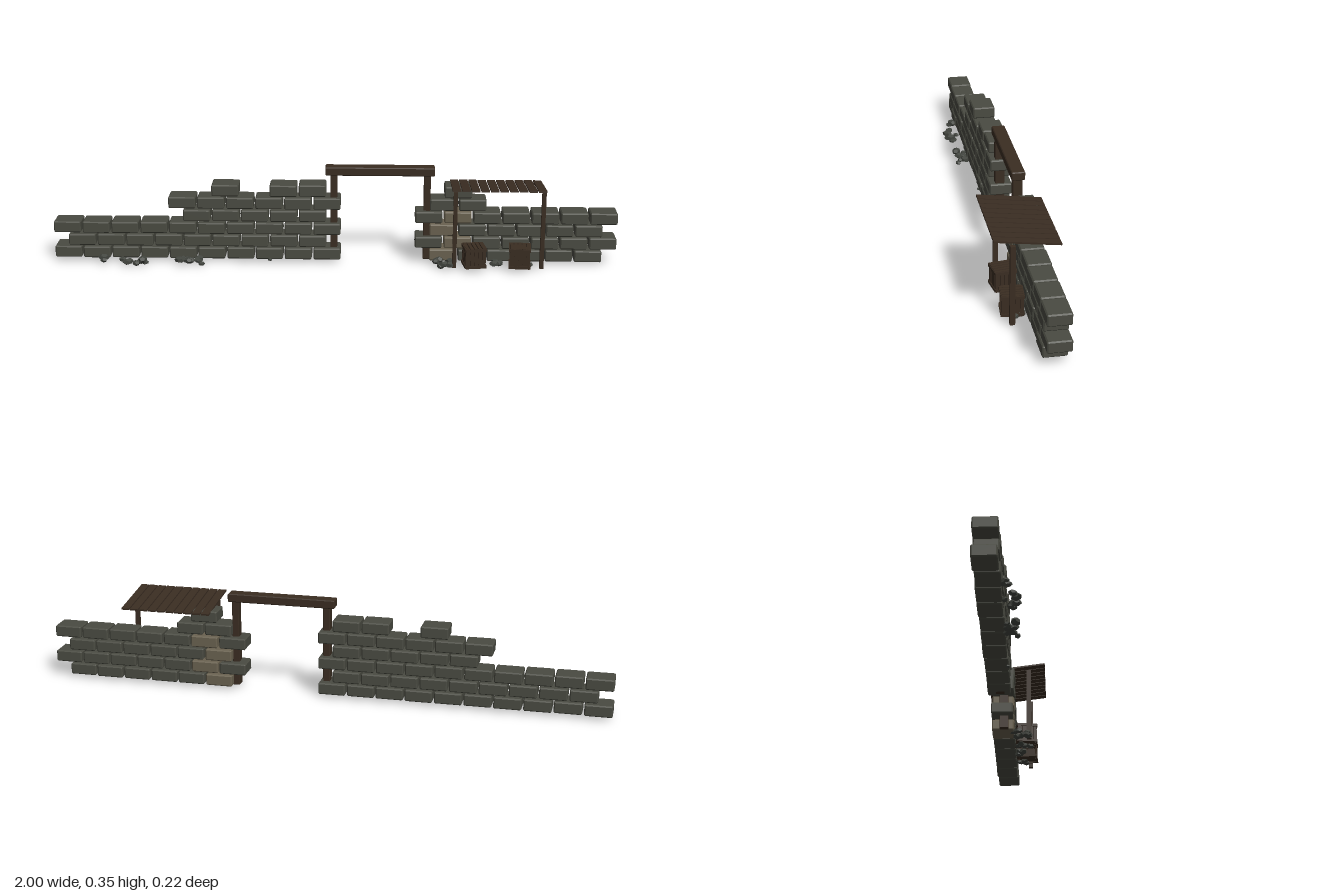
import * as THREE from 'three';
import { ConvexGeometry } from 'three/addons/geometries/ConvexGeometry.js';

const mat = (name, color) => new THREE.MeshStandardMaterial({ name, color, flatShading: true });

// Box with chamfered edges and corners
function chamferBox(w, h, d, c) {
  const pts = [];
  for (const sx of [-1, 1]) for (const sy of [-1, 1]) for (const sz of [-1, 1]) {
    const x = w / 2, y = h / 2, z = d / 2;
    pts.push(
      new THREE.Vector3(sx * x, sy * (y - c), sz * (z - c)),
      new THREE.Vector3(sx * (x - c), sy * y, sz * (z - c)),
      new THREE.Vector3(sx * (x - c), sy * (y - c), sz * z));
  }
  return new ConvexGeometry(pts);
}

export function createModel() {
  const stone = mat('stone', 0x4a4b42);
  const paleStone = mat('paleStone', 0x6a6250);
  const rubbleStone = mat('rubbleStone', 0x42453f);
  const wood = mat('wood', 0x3a2d22);

  let seed = 7;
  const rand = () => (seed = (seed * 16807) % 2147483647) / 2147483647;
  const jitter = (a) => (rand() - 0.5) * 2 * a;

  const model = new THREE.Group();
  model.name = 'ruinedWall';
  const group = (name, parent = model) => {
    const g = new THREE.Group();
    g.name = name;
    parent.add(g);
    return g;
  };
  const add = (parent, name, geo, material, x, y, z) => {
    const m = new THREE.Mesh(geo, material);
    m.name = name;
    m.position.set(x, y, z);
    parent.add(m);
    return m;
  };
  const box = (parent, name, w, h, d, x, y, z) =>
    add(parent, name, new THREE.BoxGeometry(w, h, d), wood, x, y, z);

  // Brick courses: each row lists [first, last] column runs; odd rows shift half a brick
  const brickGeo = chamferBox(0.096, 0.041, 0.08, 0.004);
  const pitch = 0.103;
  const buildWall = (name, rows) => {
    const wall = group(name);
    rows.forEach((runs, r) => {
      const start = r % 2 ? -0.8995 : -0.951;
      for (const [a, b] of runs) for (let i = a; i <= b; i++) {
        const material = i === 13 && r < 4 ? paleStone : stone;
        add(wall, 'brick', brickGeo, material,
          start + i * pitch, 0.036 + r * 0.0468, -0.046 + jitter(0.0025));
      }
    });
  };
  buildWall('leftBrokenWall'.replace('left', 'long'),
    [[[0, 9]], [[0, 8]], [[0, 9]], [[4, 8]], [[4, 9]], [[5, 5], [7, 8]]]);
  buildWall('shortBrokenWall',
    [[[13, 18]], [[12, 18]], [[13, 18]], [[12, 18]], [[13, 14]], [[13, 13]]]);

  // Door frame
  const frame = group('doorFrame');
  for (const x of [0, 0.33]) {
    add(frame, 'doorPost', chamferBox(0.024, 0.312, 0.033, 0.002), wood, x, 0.171, -0.042);
  }
  add(frame, 'doorLintel', chamferBox(0.385, 0.03, 0.046, 0.003), wood, 0.163, 0.34, -0.042);

  // Sloping slatted canopy on two posts
  const canopy = group('canopy');
  for (const x of [0.427, 0.734]) box(canopy, 'canopyPost', 0.014, 0.28, 0.017, x, 0.152, 0.048);
  const roof = group('canopyRoof', canopy);
  roof.position.set(0.575, 0.299, 0.001);
  roof.rotation.x = -0.128;
  for (let i = 0; i < 10; i++) {
    box(roof, 'roofSlat', 0.0285, 0.006, 0.218, (i - 4.5) * 0.0328, 0, 0);
  }

  // Slatted crates
  const buildCrate = (x, z, turn) => {
    const crate = group('crate');
    crate.position.set(x, 0.015, z);
    crate.rotation.y = turn;
    const s = 0.072, h = 0.074;
    box(crate, 'crateCore', s - 0.012, h - 0.01, s - 0.012, 0, h / 2, 0);
    for (let side = 0; side < 4; side++) {
      const face = group('crateSide', crate);
      face.rotation.y = side * Math.PI / 2;
      for (let i = -2; i <= 2; i++) {
        box(face, 'crateSlat', 0.01, h - 0.004, 0.005, i * 0.0145, h / 2, s / 2 - 0.003);
      }
      for (const y of [0.006, h - 0.006]) box(face, 'crateRail', s, 0.01, 0.005, 0, y, s / 2);
    }
    for (let i = -2; i <= 2; i++) {
      box(crate, 'crateLidSlat', 0.011, 0.005, s, i * 0.0145, h - 0.002, 0);
    }
  };
  buildCrate(0.497, 0.036, 0.15);
  buildCrate(0.658, 0.036, -0.08);

  // Rubble piles: [x, z, half width, half depth, count]
  const rubble = group('rubble');
  const rockGeo = new THREE.DodecahedronGeometry(1, 0);
  const piles = [
    [-0.82, 0.01, 0.008, 0.008, 2], [-0.71, 0.022, 0.04, 0.02, 8],
    [-0.505, 0.015, 0.045, 0.02, 9], [-0.23, -0.008, 0.002, 0.002, 1],
    [0.385, 0.02, 0.035, 0.028, 8], [0.54, 0.025, 0.055, 0.025, 8],
    [0.67, 0.015, 0.035, 0.02, 4],
  ];
  for (const [x, z, hw, hd, n] of piles) {
    for (let i = 0; i < n; i++) {
      const r = n === 1 ? 0.007 : 0.01 + rand() * 0.007;
      const rock = add(rubble, 'rubbleStone', rockGeo, rubbleStone,
        x + jitter(hw), r * 0.75 + 0.001 + rand() * 0.012, z + jitter(hd));
      rock.scale.set(r * 1.25, r * 0.75, r);
      rock.rotation.y = rand() * 6;
    }
  }
  return model;
}
